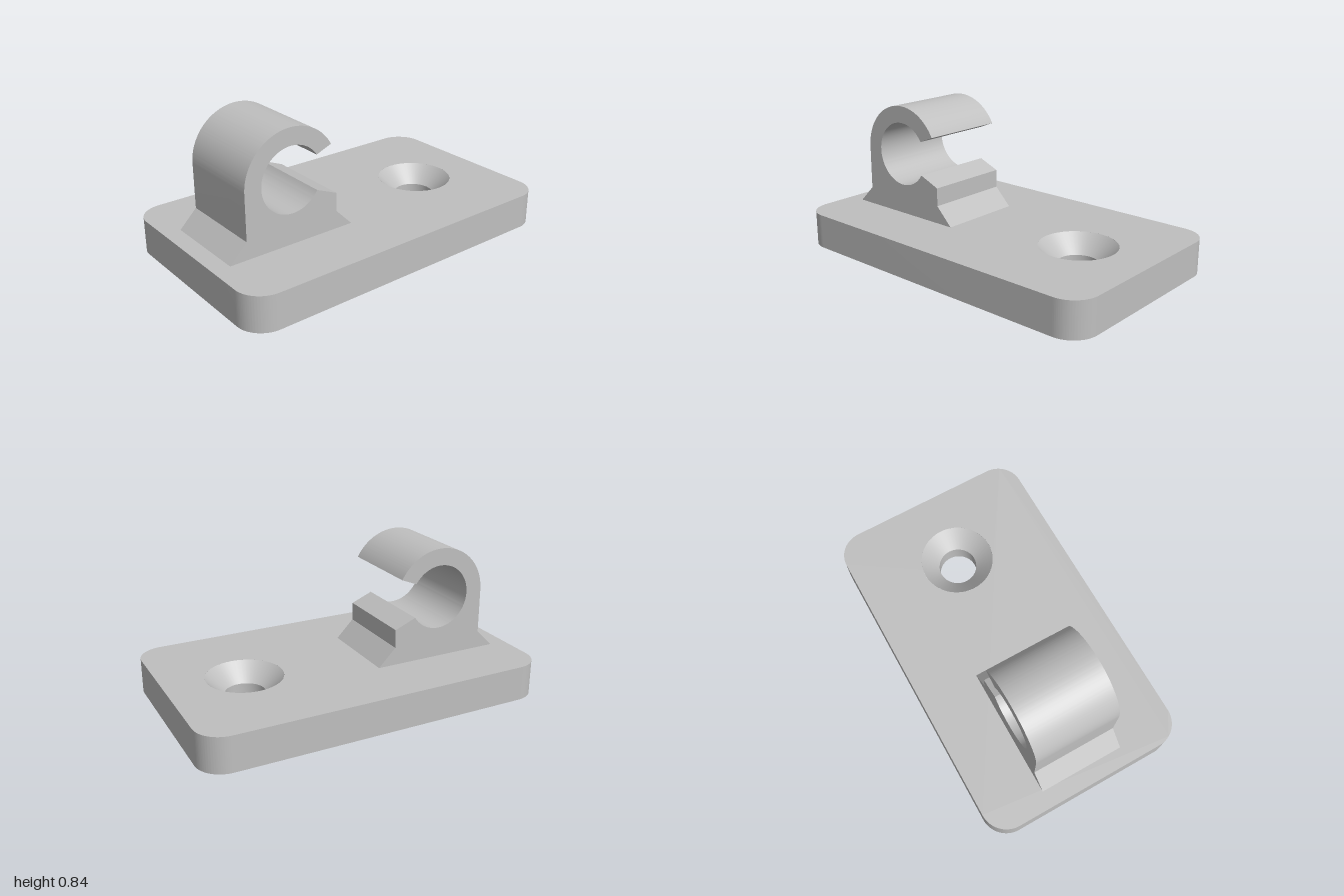
import * as THREE from 'three';
import { toCreasedNormals } from 'three/addons/utils/BufferGeometryUtils.js';

const SEG = 48;
const HOLE = { z: -0.555, rimR: 0.215, boreR: 0.113 };
const PLATE = { halfW: 0.6, halfL: 1, height: 0.2, corner: 0.15 };

function extrude(shape, depth) {
  return new THREE.ExtrudeGeometry(shape, { depth, bevelEnabled: false, curveSegments: SEG });
}

// Rounded rectangle with an opening for the screw hole
function plateGeometry() {
  const { halfW: w, halfL: l, corner: r, height } = PLATE;
  const shape = new THREE.Shape();
  shape.absarc(w - r, l - r, r, 0, Math.PI / 2);
  shape.absarc(-w + r, l - r, r, Math.PI / 2, Math.PI);
  shape.absarc(-w + r, -l + r, r, Math.PI, Math.PI * 1.5);
  shape.absarc(w - r, -l + r, r, Math.PI * 1.5, Math.PI * 2);
  shape.closePath();
  shape.holes.push(new THREE.Path().absarc(0, -HOLE.z, HOLE.rimR, 0, Math.PI * 2, true));
  return toCreasedNormals(extrude(shape, height).rotateX(-Math.PI / 2), 0.4);
}

// Conical countersink above a straight bore, closed flush underneath
function screwHoleGeometry() {
  const profile = [
    [HOLE.rimR, PLATE.height], [HOLE.boreR, 0.1], [HOLE.boreR, 0], [HOLE.rimR, 0],
  ].map(([x, y]) => new THREE.Vector2(x, y));
  return toCreasedNormals(new THREE.LatheGeometry(profile, SEG), 0.4);
}

// Open C-shaped hook with flared foot, drawn in (z, y) and extruded across x
function clipGeometry() {
  const cz = 0.522, cy = 0.556, width = 0.5;
  const shape = new THREE.Shape();
  shape.moveTo(0.902, 0.2);
  shape.lineTo(0.142, 0.2);
  shape.lineTo(0.243, 0.302);
  shape.lineTo(0.243, 0.407);
  shape.absarc(cz, cy, 0.183, -Math.PI + 0.564, Math.PI - 0.564, false);
  shape.absarc(cz, cy, 0.28, Math.PI - 0.5, 0, true);
  shape.lineTo(0.802, 0.3);
  shape.closePath();
  const geometry = extrude(shape, width).translate(0, 0, -width / 2).rotateY(-Math.PI / 2);
  return toCreasedNormals(geometry, 0.4);
}

export function createModel() {
  const grey = new THREE.MeshStandardMaterial({ color: 0xbfbfbf });
  grey.name = 'light grey';
  const group = new THREE.Group();
  group.name = 'clipMount';

  const add = (name, geometry) => {
    const mesh = new THREE.Mesh(geometry, grey);
    mesh.name = name;
    group.add(mesh);
    return mesh;
  };

  add('basePlate', plateGeometry());
  add('countersunkHole', screwHoleGeometry()).position.z = HOLE.z;
  add('clip', clipGeometry());
  return group;
}
